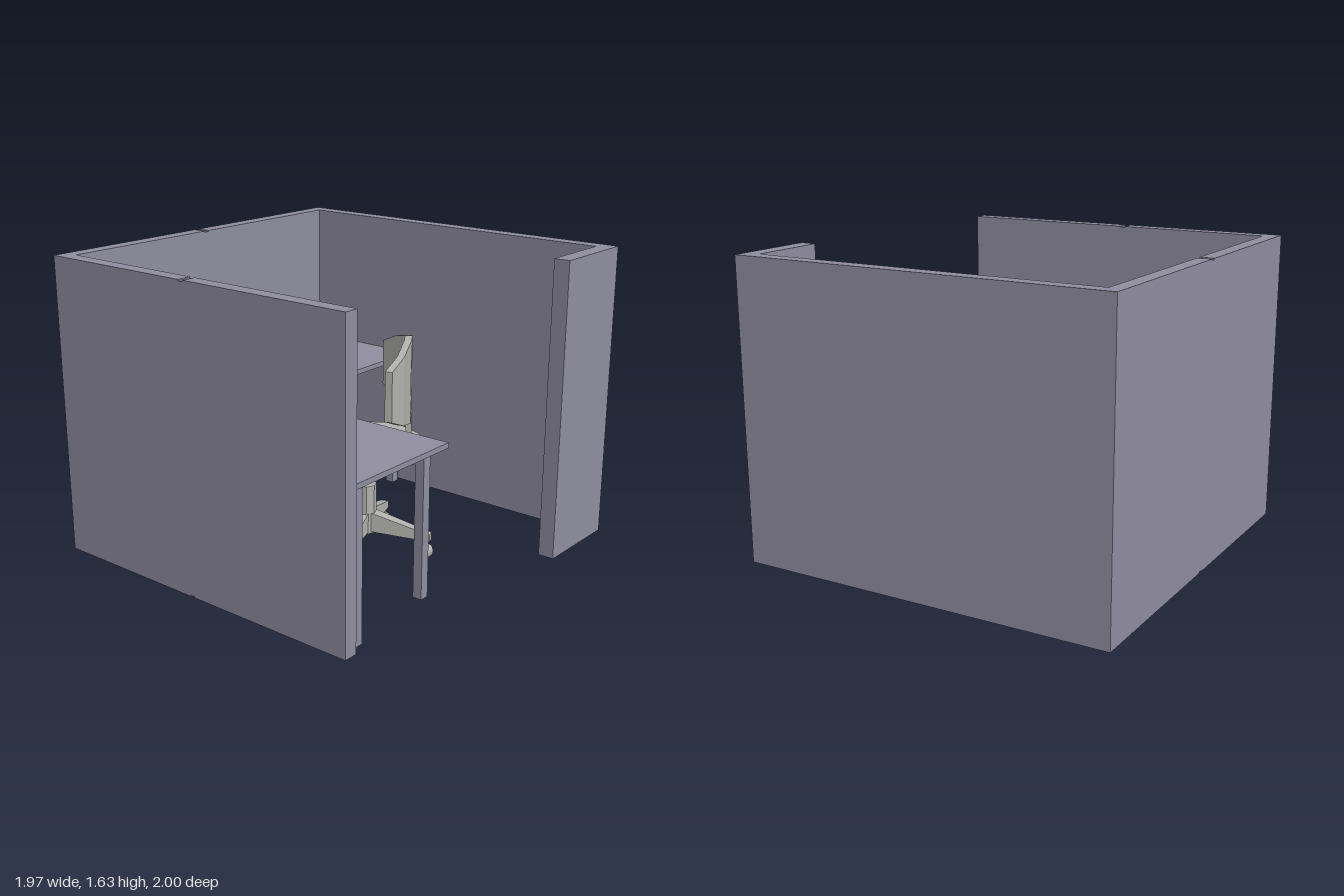
import * as THREE from 'three';

const partition = new THREE.MeshStandardMaterial({ color: 0x8f8d9f });
partition.name = 'partitionGrey';
partition.flatShading = true;
const chairGrey = new THREE.MeshStandardMaterial({ color: 0xb2b2ae });
chairGrey.name = 'chairGrey';
chairGrey.flatShading = true;

function add(parent, name, geometry, material, x = 0, y = 0, z = 0) {
  const mesh = new THREE.Mesh(geometry, material);
  mesh.name = name;
  mesh.position.set(x, y, z);
  parent.add(mesh);
  return mesh;
}

// Box given by its limits on each axis
function block(parent, name, [x0, x1], [y0, y1], [z0, z1], material = partition) {
  return add(parent, name, new THREE.BoxGeometry(x1 - x0, y1 - y0, z1 - z0), material,
    (x0 + x1) / 2, (y0 + y1) / 2, (z0 + z1) / 2);
}

// Box whose vertices are moved by a rule taking and returning a Vector3
function reshape(geometry, rule) {
  const g = geometry.toNonIndexed();
  const p = g.attributes.position;
  const v = new THREE.Vector3();
  for (let i = 0; i < p.count; i++) {
    rule(v.fromBufferAttribute(p, i));
    p.setXYZ(i, v.x, v.y, v.z);
  }
  g.computeVertexNormals();
  return g;
}

function createWalls() {
  const walls = new THREE.Group();
  walls.name = 'walls';
  const h = [0.08, 1.635], seam = [0.086, 1.629];
  block(walls, 'rightWall', [-0.985, -0.91], h, [-0.095, 0.84]).name = 'rightWallFrontPanel';
  block(walls, 'rightWallSeam', [-0.985, -0.91], seam, [-0.125, -0.095]);
  block(walls, 'rightWallBackPanel', [-0.985, -0.91], h, [-0.925, -0.125]);
  block(walls, 'backWallRightPanel', [-0.985, -0.04], h, [-1, -0.925]);
  block(walls, 'backWallSeam', [-0.04, -0.01], seam, [-1, -0.925]);
  block(walls, 'backWallLeftPanel', [-0.01, 0.91], h, [-1, -0.925]);
  block(walls, 'leftWall', [0.91, 0.985], h, [-1, 1]);
  block(walls, 'frontReturnWall', [0.5, 0.91], h, [0.915, 1]);
  return walls;
}

function createDesk() {
  const desk = new THREE.Group();
  desk.name = 'desk';
  // L-shaped worktop
  const shape = new THREE.Shape([
    [-0.91, -0.925], [0.91, -0.925], [0.91, -0.245],
    [-0.225, -0.245], [-0.225, 0.83], [-0.91, 0.83],
  ].map(([x, z]) => new THREE.Vector2(x, z)));
  const top = new THREE.ExtrudeGeometry(shape, { depth: 0.027, bevelEnabled: false });
  top.rotateX(Math.PI / 2);
  add(desk, 'worktop', top, partition, 0, 0.876, 0);
  // Square legs
  const legs = [[-0.845, 0.775], [-0.28, 0.725], [-0.28, -0.32], [0.86, -0.32], [-0.845, -0.89], [0.87, -0.86]];
  for (const [x, z] of legs) {
    block(desk, 'deskLeg', [x - 0.025, x + 0.025], [0.078, 0.85], [z - 0.025, z + 0.025]);
  }
  return desk;
}

function createChair() {
  const chair = new THREE.Group();
  chair.name = 'chair';
  const cx = 0.12, cz = 0.065;
  const cylinder = (name, r, y0, y1, sides) =>
    add(chair, name, new THREE.CylinderGeometry(r, r, y1 - y0, sides), chairGrey, cx, (y0 + y1) / 2, cz);

  cylinder('seat', 0.302, 0.55, 0.625, 14).rotation.y = 0.1;
  cylinder('seatMount', 0.06, 0.515, 0.55, 10);
  cylinder('gasLift', 0.018, 0.37, 0.52, 8);
  cylinder('column', 0.062, 0.11, 0.38, 8);
  block(chair, 'heightLever', [-0.188, 0.1], [0.516, 0.534], [0.055, 0.08], chairGrey);

  // Four tapered legs ending in ball casters
  const legGeometry = reshape(new THREE.BoxGeometry(1, 1, 1), (v) => {
    const tip = v.x > 0;
    v.y = v.y > 0 ? (tip ? 0.14 : 0.23) : (tip ? 0.1 : 0.12);
    v.z *= tip ? 0.042 : 0.07;
    v.x = tip ? 0.365 : 0.03;
  });
  for (let i = 0; i < 4; i++) {
    const arm = new THREE.Group();
    arm.name = 'baseArm';
    arm.position.set(cx, 0, cz);
    arm.rotation.y = THREE.MathUtils.degToRad(20.5 + 90 * i);
    add(arm, 'baseLeg', legGeometry, chairGrey);
    add(arm, 'casterStem', new THREE.CylinderGeometry(0.014, 0.014, 0.06, 8), chairGrey, 0.341, 0.085, 0);
    add(arm, 'caster', new THREE.SphereGeometry(0.04, 12, 8), chairGrey, 0.341, 0.04, 0);
    chair.add(arm);
  }

  // Curved backrest: columns of outer x, outer z, bottom y, top y, inward x, inward z
  const columns = [
    [-0.05, 0.366, 0.825, 1.085, -0.012, -0.036],
    [0.068, 0.35, 0.775, 1.135, -0.012, -0.035],
    [0.215, 0.285, 0.735, 1.18, -0.02, -0.032],
    [0.3, 0.228, 0.735, 1.18, -0.028, -0.028],
    [0.413, 0.078, 0.77, 1.135, -0.034, -0.018],
    [0.458, -0.043, 0.84, 1.08, -0.035, -0.015],
  ];
  const back = reshape(new THREE.BoxGeometry(5, 1, 1, 5, 1, 1), (v) => {
    const [x, z, y0, y1, dx, dz] = columns[Math.round(v.x + 2.5)];
    const inner = v.z < 0 ? 1 : 0;
    v.set(x + dx * inner, v.y > 0 ? y1 : y0, z + dz * inner);
  });
  add(chair, 'backrest', back, chairGrey);
  add(chair, 'backrestSupport', new THREE.BoxGeometry(0.09, 0.2, 0.03), chairGrey, 0.268, 0.68, 0.236)
    .rotation.y = 0.63;
  return chair;
}

export function createModel() {
  const model = new THREE.Group();
  model.name = 'officeCubicle';
  model.add(createWalls(), createDesk(), createChair());
  return model;
}
